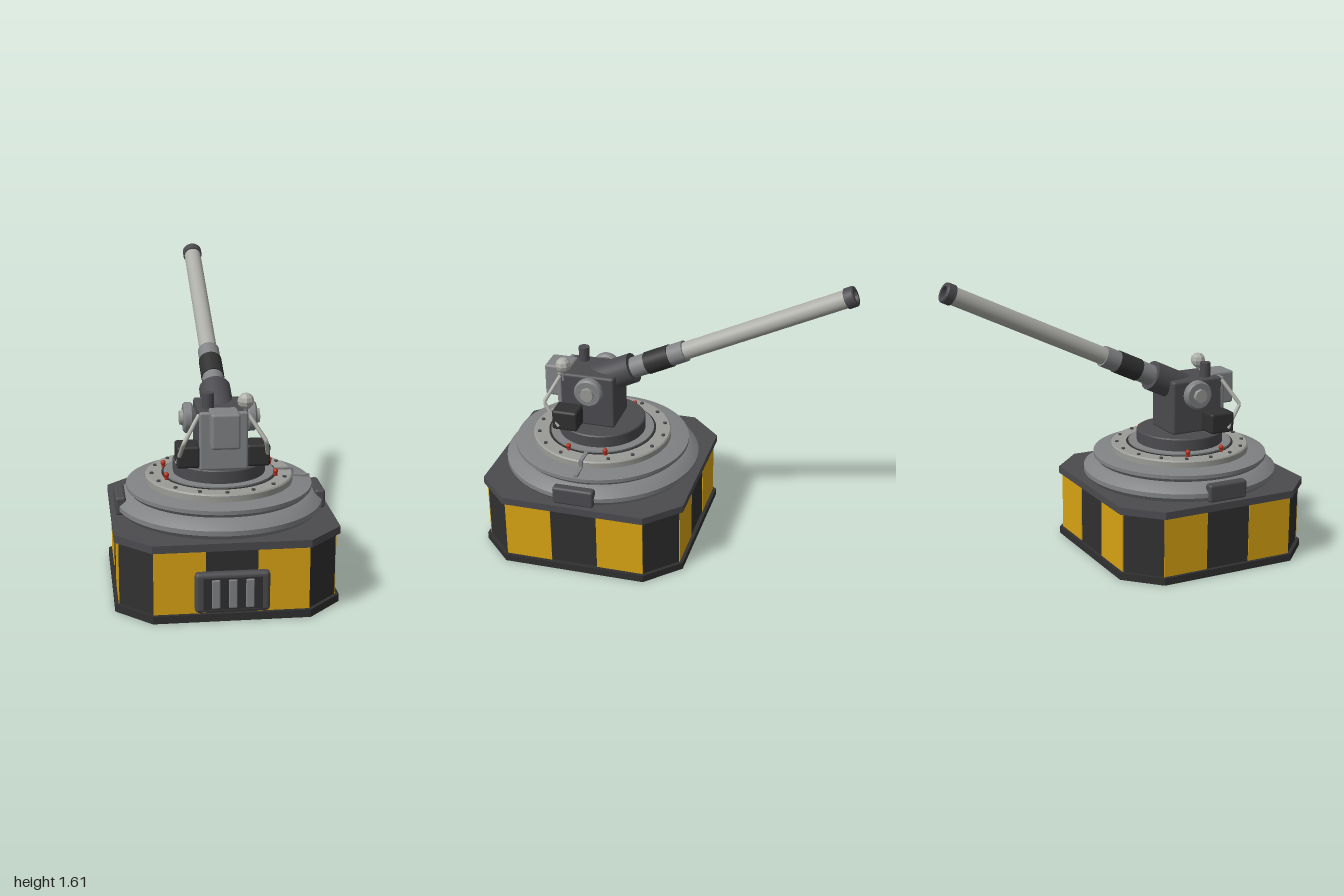
import * as THREE from 'three';
import { toCreasedNormals } from 'three/addons/utils/BufferGeometryUtils.js';
import { RoundedBoxGeometry } from 'three/addons/geometries/RoundedBoxGeometry.js';

const CZ = 0.395; // centre of the base along z
const TILT = -1.127; // barrel elevation

function paint(name, color) {
  const m = new THREE.MeshStandardMaterial({ color });
  m.name = name;
  return m;
}

export function createModel() {
  const model = new THREE.Group();
  model.name = 'turret';
  const black = paint('black', 0x303030);
  const dark = paint('darkGrey', 0x4b4b4f);
  const grey = paint('midGrey', 0x808284);
  const light = paint('lightGrey', 0x9a9a96);
  const pale = paint('paleGrey', 0xadada8);
  const yellow = paint('yellow', 0xd8a313);
  const red = paint('red', 0xb5301c);

  function add(name, geo, mat, x = 0, y = 0, z = 0, parent = model) {
    const m = new THREE.Mesh(geo, mat);
    m.name = name;
    m.position.set(x, y, z);
    parent.add(m);
    return m;
  }
  const box = (w, h, d) => new THREE.BoxGeometry(w, h, d);
  const rbox = (w, h, d, r) => new RoundedBoxGeometry(w, h, d, 2, r);
  const cyl = (r1, r2, h, n = 32) => new THREE.CylinderGeometry(r1, r2, h, n);
  const lathe = (pts, n = 64) => toCreasedNormals(
    new THREE.LatheGeometry(pts.map(p => new THREE.Vector2(p[0], p[1])), n), 0.4);

  // Square slab with cut corners
  function slab(half, cut, h) {
    const c = half - cut;
    const s = new THREE.Shape([[c, -half], [half, -c], [half, c], [c, half],
      [-c, half], [-half, c], [-half, -c], [-c, -half]].map(p => new THREE.Vector2(...p)));
    return new THREE.ExtrudeGeometry(s, { depth: h, bevelEnabled: false }).rotateX(-Math.PI / 2);
  }
  add('bottomPlate', slab(0.573, 0.178, 0.04), black, 0, 0, CZ);
  add('baseBody', slab(0.551, 0.161, 0.33), black, 0, 0.04, CZ);
  add('topPlate', slab(0.573, 0.178, 0.04), dark, 0, 0.37, CZ);

  // Hazard stripes, two on each straight side
  for (let i = 0; i < 4; i++) {
    const side = new THREE.Group();
    side.name = 'stripes' + i;
    side.position.set(0, 0.205, CZ);
    side.rotation.y = i * Math.PI / 2;
    for (const s of [-1, 1]) add('stripe', box(0.26, 0.33, 0.008), yellow, s * 0.26, 0, 0.551, side);
    model.add(side);
  }

  // Front vent
  add('ventFrame', rbox(0.375, 0.21, 0.05, 0.02), dark, 0, 0.157, 0.963);
  add('ventPanel', box(0.295, 0.165, 0.008), black, 0, 0.155, 0.988);
  for (const x of [-0.085, 0, 0.085]) add('ventBar', rbox(0.042, 0.15, 0.016, 0.006), grey, x, 0.155, 0.992);

  // Stepped turntable
  add('lowerRing', lathe([[0.52, 0.41], [0.543, 0.435], [0.543, 0.46], [0.5, 0.495], [0.46, 0.51], [0, 0.51]]), grey, 0, 0, CZ);
  add('upperRing', lathe([[0.46, 0.495], [0.488, 0.525], [0.488, 0.545], [0.42, 0.557], [0, 0.557]]), grey, 0, 0, CZ);
  add('boltRing', lathe([[0.387, 0.553], [0.387, 0.588], [0.38, 0.595], [0.3, 0.595], [0.3, 0.555]]), light, 0, 0, CZ);
  add('seam', cyl(0.302, 0.302, 0.04, 64), black, 0, 0.577, CZ);
  add('innerRing', lathe([[0.29, 0.59], [0.29, 0.605], [0, 0.605]]), grey, 0, 0, CZ);
  add('pedestal', lathe([[0.242, 0.6], [0.242, 0.668], [0.236, 0.674], [0, 0.674]]), dark, 0, 0, CZ);
  for (let i = 0; i < 16; i++) {
    const a = i * Math.PI / 8;
    add('bolt', cyl(0.011, 0.011, 0.012, 6), dark, 0.355 * Math.cos(a), 0.597, CZ + 0.355 * Math.sin(a));
  }
  // Radial cable strip on the left
  add('cableUpper', box(0.1, 0.012, 0.02), grey, 0.345, 0.598, CZ);
  add('cableDrop', box(0.012, 0.05, 0.02), grey, 0.391, 0.58, CZ);
  add('cableLower', box(0.1, 0.014, 0.02), grey, 0.435, 0.557, CZ);

  // Gun block
  add('gunBlock', rbox(0.25, 0.305, 0.31, 0.015), dark, 0, 0.822, 0.44);
  add('frontCover', rbox(0.25, 0.305, 0.03, 0.012), grey, 0, 0.822, 0.597);
  add('sightBox', rbox(0.148, 0.185, 0.15, 0.014), grey, 0, 0.895, 0.625);
  add('periscope', cyl(0.03, 0.03, 0.1, 16), dark, -0.07, 1.005, 0.515);
  add('sensorStalk', cyl(0.012, 0.012, 0.07, 8), grey, 0.115, 0.965, 0.575);
  add('sensorBall', new THREE.SphereGeometry(0.043, 8, 6).toNonIndexed(), pale, 0.115, 1.022, 0.575)
    .geometry.computeVertexNormals();

  // Parts mirrored left and right
  for (const s of [-1, 1]) {
    add('sideBox', rbox(0.055, 0.1, 0.23, 0.014), dark, s * 0.523, 0.458, CZ);
    add('ammoBox', rbox(0.12, 0.115, 0.145, 0.014), black, s * 0.18, 0.74, 0.537);
    const trunnion = new THREE.Group();
    trunnion.name = 'trunnion';
    trunnion.position.set(0, 0.9, 0.415);
    trunnion.rotation.z = -s * Math.PI / 2;
    add('axle', cyl(0.05, 0.05, 0.06, 20), dark, 0, 0.13, 0, trunnion);
    add('disc', lathe([[0, 0.14], [0.07, 0.14], [0.08, 0.15], [0.08, 0.18], [0.07, 0.19], [0, 0.19]], 32), grey, 0, 0, 0, trunnion);
    add('hub', cyl(0.038, 0.04, 0.025, 8), light, 0, 0.197, 0, trunnion);
    model.add(trunnion);

    // Bent hand rail
    const pts = [[0.125, 0.96, 0.59], [0.21, 0.83, 0.66], [0.235, 0.705, 0.57]]
      .map(p => new THREE.Vector3(s * p[0], p[1], p[2]));
    const path = new THREE.CurvePath();
    path.add(new THREE.LineCurve3(pts[0], pts[1]));
    path.add(new THREE.LineCurve3(pts[1], pts[2]));
    add('handRail', new THREE.TubeGeometry(path, 16, 0.011, 8), pale);

    // Warning lamps
    for (const z of [-0.105, 0.105]) {
      add('lampBase', cyl(0.01, 0.01, 0.02, 8), red, s * 0.285, 0.605, CZ + z);
      add('lamp', new THREE.SphereGeometry(0.014, 10, 8), red, s * 0.285, 0.62, CZ + z);
    }
  }

  // Elevated barrel, built along local y
  const gun = new THREE.Group();
  gun.name = 'gun';
  gun.position.set(0, 0.9, 0.415);
  gun.rotation.x = TILT;
  model.add(gun);
  const tube = (name, r, a, b, mat) => add(name, cyl(r, r, b - a), mat, 0, (a + b) / 2, 0, gun);
  tube('housing', 0.083, -0.04, 0.23, dark);
  tube('sleeve', 0.058, 0.2, 0.555, grey);
  tube('band', 0.062, 0.32, 0.465, black);
  tube('barrel', 0.048, 0.54, 1.5, pale);
  add('muzzle', lathe([[0.046, 1.485], [0.055, 1.49], [0.055, 1.533], [0.05, 1.54],
    [0.032, 1.54], [0.032, 1.505]], 32), dark, 0, 0, 0, gun);
  add('bore', cyl(0.033, 0.033, 0.01), black, 0, 1.505, 0, gun);

  return model;
}
